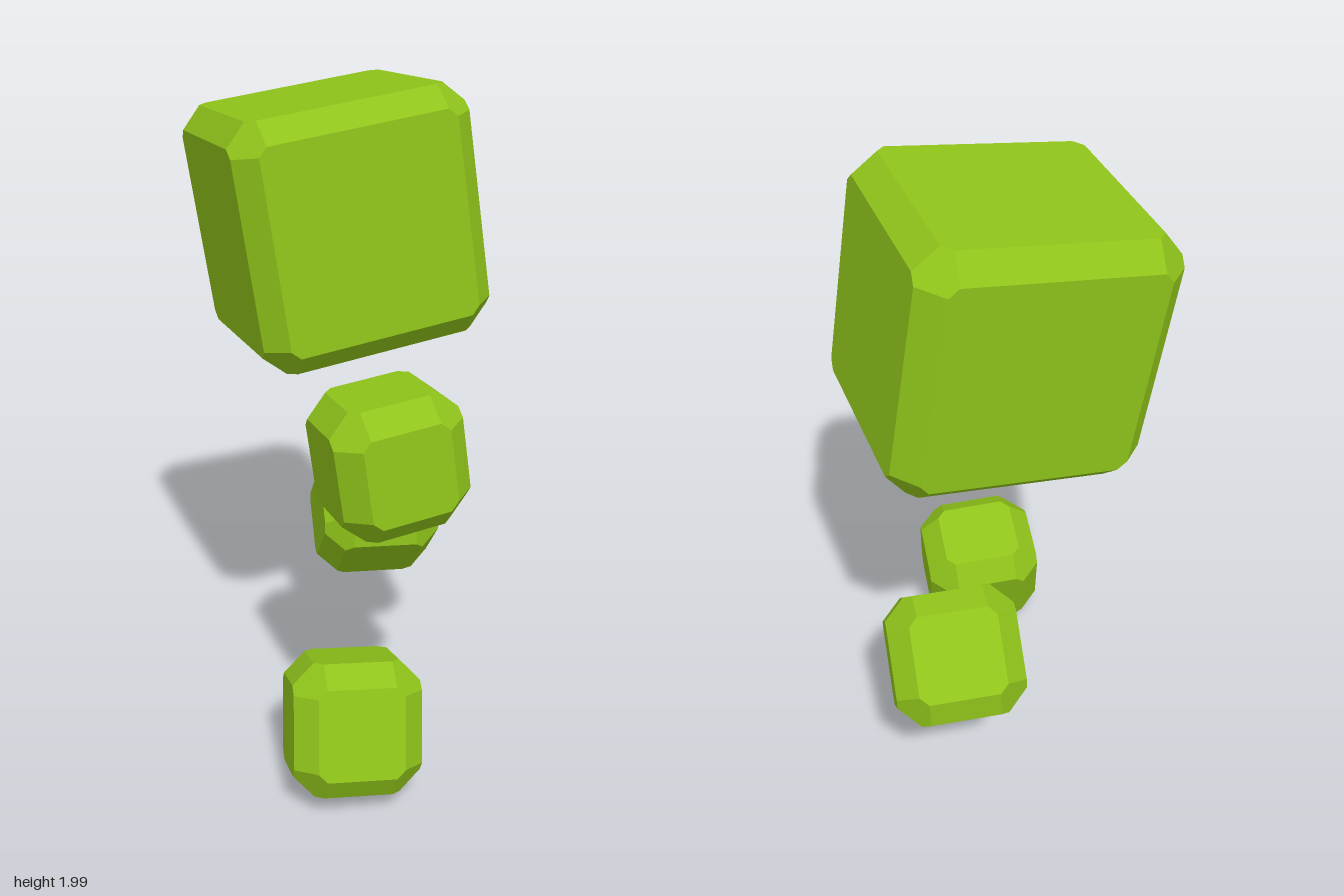
import * as THREE from 'three';
import { ConvexGeometry } from 'three/addons/geometries/ConvexGeometry.js';

const BEVEL = 0.062; // edge chamfer
const CUT = 0.025;   // extra cut at each corner

// Block with chamfered edges and clipped corners, from half sizes
function chamferedBlock(half) {
  const points = [];
  for (const sx of [-1, 1]) for (const sy of [-1, 1]) for (const sz of [-1, 1]) {
    const sign = [sx, sy, sz];
    for (let face = 0; face < 3; face++) {
      for (let other = 1; other < 3; other++) {
        const inset = [BEVEL, BEVEL, BEVEL];
        inset[face] = 0;
        inset[(face + other) % 3] += CUT;
        points.push(new THREE.Vector3(...half.map((h, i) => sign[i] * (h - inset[i]))));
      }
    }
  }
  return new ConvexGeometry(points);
}

// name, centre, half sizes, rotation in degrees (x, y, z)
const BLOCKS = [
  ['largeTopBlock', [0, 1.59, -0.21], [0.35, 0.358, 0.325], [-3.5, 14.5, 7.5]],
  ['upperSmallBlock', [0.09, 1.05, 0.335], [0.186, 0.19, 0.178], [-3.5, 14, 7]],
  ['rearSmallBlock', [0.145, 0.535, -0.37], [0.19, 0.187, 0.175], [43, 4, -2]],
  ['lowestSmallBlock', [-0.015, 0.228, 0.39], [0.187, 0.193, 0.17], [-20, 4, -3.5]],
];

export function createModel() {
  const group = new THREE.Group();
  const green = new THREE.MeshStandardMaterial({ color: 0x8fc31a, flatShading: true });
  for (const [name, centre, half, turn] of BLOCKS) {
    const block = new THREE.Mesh(chamferedBlock(half), green);
    block.name = name;
    block.position.set(...centre);
    block.rotation.set(...turn.map(THREE.MathUtils.degToRad), 'YZX');
    group.add(block);
  }
  return group;
}
